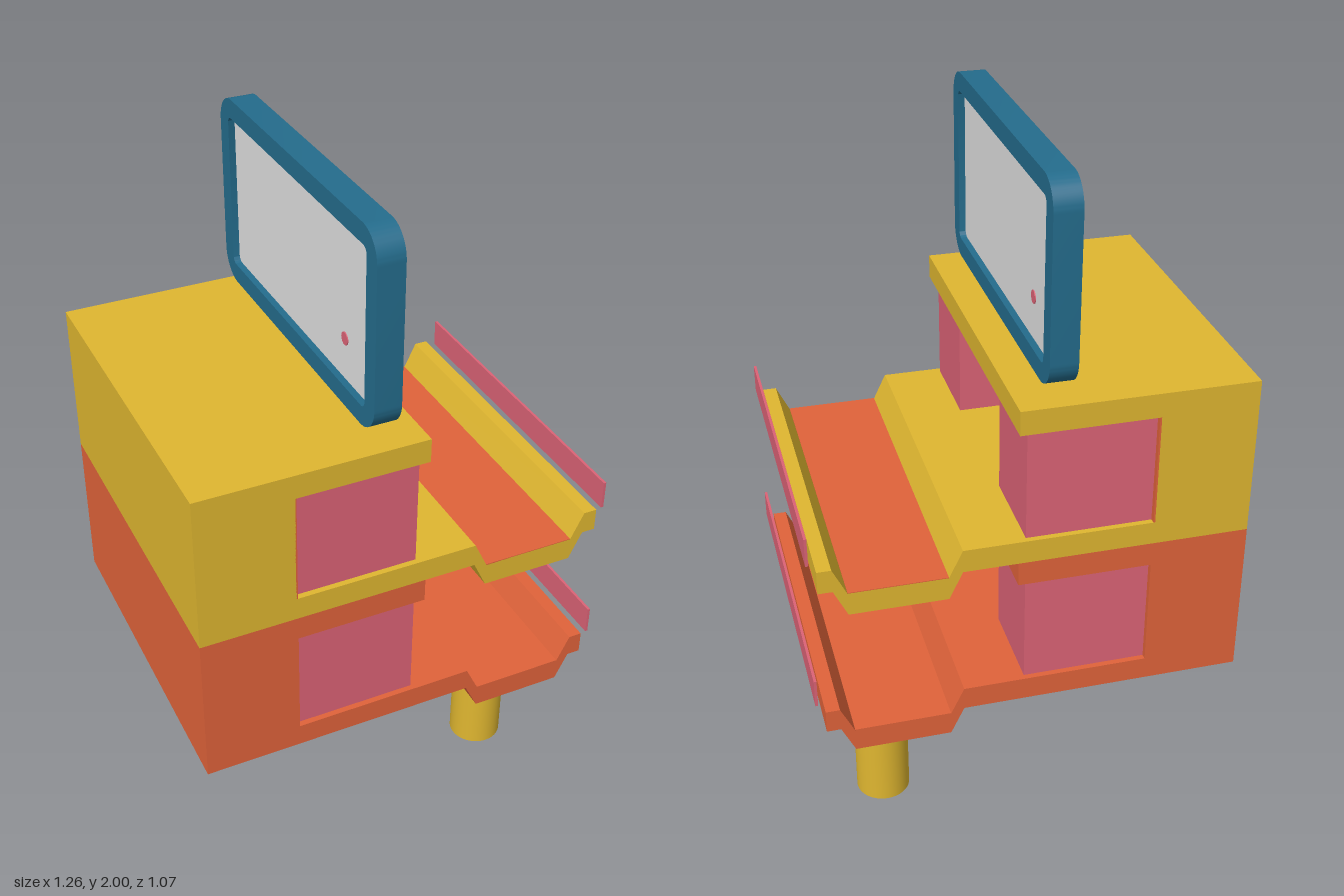
import * as THREE from 'three';
import { toCreasedNormals } from 'three/addons/utils/BufferGeometryUtils.js';

const material = (name, color) => {
  const m = new THREE.MeshStandardMaterial({ color });
  m.name = name;
  return m;
};

const WIDTH = 1.065;   // body width along z
const STEP = 0.48;     // height of one module

export function createModel() {
  const yellow = material('yellow', 0xdfb630);
  const orange = material('orange', 0xe0633a);
  const pink = material('pink', 0xdc6376);
  const blue = material('blue', 0x246c8c);
  const grey = material('grey', 0xe0e0e0);

  const model = new THREE.Group();
  model.name = 'displayStand';

  const add = (parent, name, geometry, mat, x = 0, y = 0, z = 0) => {
    const mesh = new THREE.Mesh(geometry, mat);
    mesh.name = name;
    mesh.position.set(x, y, z);
    parent.add(mesh);
    return mesh;
  };
  const box = (parent, name, mat, [x0, x1], [y0, y1], [z0, z1]) =>
    add(parent, name, new THREE.BoxGeometry(x1 - x0, y1 - y0, z1 - z0), mat,
      (x0 + x1) / 2, (y0 + y1) / 2, (z0 + z1) / 2);

  // Side profile of a module: cabinet with open niche and a dipped front tray
  const profile = new THREE.Shape([
    [-0.635, 0], [0.203, 0], [0.243, -0.083], [0.525, -0.083], [0.565, 0],
    [0.606, 0], [0.606, 0.07], [0.565, 0.07], [0.525, -0.013], [0.243, -0.013],
    [0.203, 0.07], [-0.35, 0.07], [-0.35, 0.407], [0.045, 0.407],
    [0.045, STEP], [-0.635, STEP],
  ].map(([x, y]) => new THREE.Vector2(x, y)));
  const bodyGeometry = new THREE.ExtrudeGeometry(profile, { depth: WIDTH, bevelEnabled: false });
  bodyGeometry.translate(0, 0, -WIDTH / 2);

  const addModule = (name, y, mat) => {
    const group = new THREE.Group();
    group.name = name;
    group.position.y = y;
    model.add(group);
    add(group, 'body', bodyGeometry, mat);
    const span = [-WIDTH / 2, WIDTH / 2];
    // Orange linings of the niche and the tray
    box(group, 'nicheBackPanel', orange, [-0.352, -0.347], [0.07, 0.407], span);
    box(group, 'trayFloorPanel', orange, [0.243, 0.525], [-0.016, -0.011], span);
    // Blocks at both ends of the niche
    box(group, 'leftBlock', pink, [-0.347, 0.02], [0.07, 0.407], [0.235, 0.515]);
    box(group, 'rightBlock', pink, [-0.347, 0.02], [0.07, 0.407], [-0.515, -0.235]);
    // Thin strip in front of the tray
    box(group, 'frontRail', pink, [0.622, 0.63], [0.073, 0.16], [-0.502, 0.532]);
  };
  addModule('lowerModule', 0.423, orange);
  addModule('upperModule', 0.423 + STEP, yellow);

  // Legs under the tray
  const legGeometry = new THREE.CylinderGeometry(0.081, 0.081, 0.34, 40);
  add(model, 'frontLeg', legGeometry, yellow, 0.38, 0.17, 0.314);
  add(model, 'backLeg', legGeometry, yellow, 0.414, 0.17, -0.317);

  // Screen: rounded frame with an inset panel
  const roundedRect = (target, w, h, r) => {
    const x = w / 2 - r, y = h / 2 - r;
    target.absarc(x, y, r, 0, Math.PI / 2);
    target.absarc(-x, y, r, Math.PI / 2, Math.PI);
    target.absarc(-x, -y, r, Math.PI, Math.PI * 1.5);
    target.absarc(x, -y, r, Math.PI * 1.5, Math.PI * 2);
    target.closePath();
    return target;
  };
  const plate = (shape, depth) => {
    const g = new THREE.ExtrudeGeometry(shape, { depth, bevelEnabled: false, curveSegments: 10 });
    g.translate(0, 0, -depth / 2);
    g.rotateY(Math.PI / 2);
    return toCreasedNormals(g, 0.6);
  };
  const screen = new THREE.Group();
  screen.name = 'screen';
  screen.position.set(-0.076, 1.708, -0.004);
  model.add(screen);
  const frameShape = roundedRect(new THREE.Shape(), 1.03, 0.584, 0.085);
  frameShape.holes.push(roundedRect(new THREE.Path(), 0.912, 0.468, 0.02));
  add(screen, 'screenFrame', plate(frameShape, 0.08), blue);
  add(screen, 'screenPanel', plate(roundedRect(new THREE.Shape(), 0.92, 0.476, 0.02), 0.04), grey);

  // Small dot on each face of the panel
  for (const side of [1, -1]) {
    const dot = add(screen, 'screenDot', new THREE.CylinderGeometry(0.019, 0.019, 0.004, 16),
      pink, side * 0.021, -0.11, -side * 0.297);
    dot.rotation.z = Math.PI / 2;
  }

  return model;
}
